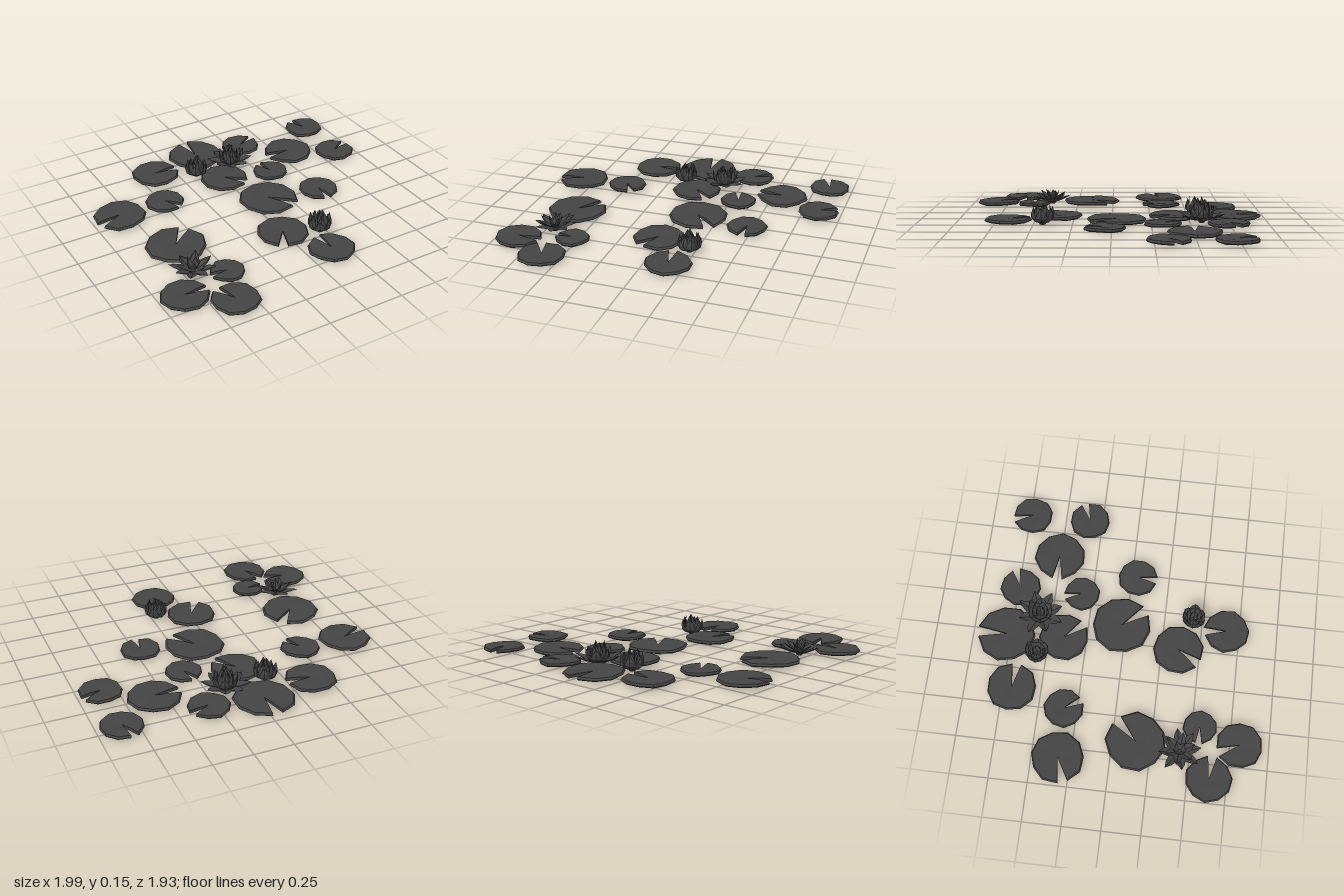
import * as THREE from 'three';

const material = new THREE.MeshStandardMaterial({ color: 0x444444, flatShading: true });
const petalMaterial = new THREE.MeshStandardMaterial({ color: 0x444444, flatShading: true, side: THREE.DoubleSide });

function meshFrom(points, mat, name) {
  const g = new THREE.BufferGeometry();
  g.setAttribute('position', new THREE.Float32BufferAttribute(points, 3));
  g.computeVertexNormals();
  const m = new THREE.Mesh(g, mat);
  m.name = name;
  return m;
}

// Notched ten-sided pad: a thin bevelled profile swept round, closed at the notch walls
function lilyPad(r, dx, dz, seed) {
  const out = [], sides = 10, half = 0.19;
  const start = Math.atan2(dz, dx) + half;
  const step = (Math.PI * 2 - half * 2) / sides;
  const profile = [[0, 0.002], [0.95, 0], [1, 0.008], [0.95, 0.021], [0.5, 0.022], [0, 0.017]];
  const at = (p, i) => {
    const a = start + i * step;
    const k = r * p[0] * (1 + 0.025 * Math.sin(i * 2.3 + seed));
    const wave = p[0] > 0.9 ? 0.0025 * Math.sin(i * 1.9 + seed) : 0;
    return [Math.cos(a) * k, p[1] + wave, Math.sin(a) * k];
  };
  for (let i = 0; i < sides; i++) {
    for (let j = 0; j < profile.length - 1; j++) {
      const a = at(profile[j], i), b = at(profile[j + 1], i);
      const c = at(profile[j + 1], i + 1), d = at(profile[j], i + 1);
      if (j < profile.length - 2) out.push(...a, ...b, ...c);
      if (j > 0) out.push(...a, ...c, ...d);
      if (j === profile.length - 2) continue;
    }
  }
  for (let j = 1; j < profile.length - 1; j++) {
    out.push(...at(profile[0], 0), ...at(profile[j + 1], 0), ...at(profile[j], 0));
    out.push(...at(profile[0], sides), ...at(profile[j], sides), ...at(profile[j + 1], sides));
  }
  return meshFrom(out, material, 'lilyPad');
}

// Pointed, creased petal following a curve given as [radius, height] pairs
function petal(from, control, to, width) {
  const curve = new THREE.QuadraticBezierCurve(
    new THREE.Vector2(...from), new THREE.Vector2(...control), new THREE.Vector2(...to));
  const widths = [0.35, 0.85, 1, 0.7, 0];
  const rows = widths.map((w, i) => {
    const t = i / (widths.length - 1), p = curve.getPoint(t), n = curve.getTangent(t);
    const h = w * width / 2, lift = h * 0.35;
    const ex = p.x - n.y * lift, ey = p.y + n.x * lift;
    return [[ex, ey, -h], [p.x, p.y, 0], [ex, ey, h]];
  });
  const out = [];
  for (let i = 0; i < rows.length - 1; i++) {
    for (let s = 0; s < 2; s++) {
      const a = rows[i][s], b = rows[i][s + 1], c = rows[i + 1][s + 1], d = rows[i + 1][s];
      out.push(...a, ...b, ...c);
      if (i < rows.length - 2 || s === 0 || s === 1) out.push(...a, ...c, ...d);
    }
  }
  return meshFrom(out, petalMaterial, 'petal');
}

// Rings of petals: [count, start, control, tip, width]
const budRings = [
  [6, [0.015, 0.008], [0.105, 0.02], [0.068, 0.112], 0.078],
  [5, [0.01, 0.015], [0.085, 0.03], [0.042, 0.132], 0.068],
  [4, [0.008, 0.02], [0.05, 0.04], [0.016, 0.122], 0.05],
];
const openRings = [
  [8, [0.02, 0.012], [0.09, 0.02], [0.155, 0.06], 0.075],
  [6, [0.015, 0.015], [0.1, 0.025], [0.08, 0.115], 0.072],
  [5, [0.01, 0.015], [0.08, 0.03], [0.045, 0.142], 0.065],
  [4, [0.008, 0.02], [0.05, 0.04], [0.016, 0.132], 0.05],
];
const flatRings = [
  [8, [0.015, 0.012], [0.07, 0.02], [0.142, 0.06], 0.065],
  [6, [0.012, 0.02], [0.06, 0.035], [0.105, 0.085], 0.055],
  [5, [0.008, 0.03], [0.04, 0.04], [0.045, 0.1], 0.038],
];

function flower(rings, name) {
  const group = new THREE.Group();
  group.name = name;
  rings.forEach(([count, from, control, to, width], k) => {
    for (let i = 0; i < count; i++) {
      const tip = [to[0] * (1 + 0.06 * Math.sin(i * 2.7 + k)), to[1] + 0.006 * Math.sin(i * 1.7 + k * 2)];
      const p = petal(from, control, tip, width);
      p.rotation.y = (i + k * 0.5) / count * Math.PI * 2 + k * 0.2;
      group.add(p);
    }
  });
  // Base under the petals
  const base = new THREE.Mesh(new THREE.CylinderGeometry(0.03, 0.018, 0.02, 8), material);
  base.name = 'flowerBase';
  base.position.y = 0.01;
  group.add(base);
  return group;
}

// x, z, radius, notch direction x and z, height
const pads = [
  [-0.39, -0.69, 0.162, 28, 2, 0.012], [-0.03, -0.78, 0.192, -1, -32, 0.01],
  [0.31, -0.735, 0.135, 22, -9, 0.014], [0.57, -0.505, 0.17, -30, 0, 0.006],
  [0.85, -0.73, 0.135, -7, -22, 0.013], [0.855, -0.335, 0.136, 20, -8, 0.013],
  [-0.82, -0.33, 0.17, -27, 9, 0.014], [-0.495, -0.335, 0.13, 11, 19, 0.014],
  [-0.01, -0.4, 0.164, 17, 20, 0.012], [0.31, -0.32, 0.12, -6, -21, 0.014],
  [0.12, -0.03, 0.196, 22, 28, 0.008], [0.47, 0.04, 0.132, -1, 21, 0.013],
  [-0.66, 0.15, 0.194, 26, -28, 0.013], [-0.01, 0.36, 0.167, -14, 24, 0.011],
  [0.155, 0.665, 0.15, -3, -25, 0.012], [-0.85, 0.635, 0.15, 26, 2, 0.014],
  [-0.52, 0.55, 0.11, -20, 0, 0.015], [-0.61, 0.81, 0.15, -12, -27, 0.013],
];
const flowers = [
  [openRings, 'openFlower', 0.135, -0.575, 0.4],
  [budRings, 'buddingFlower', -0.14, -0.56, 0],
  [flatRings, 'wideFlower', -0.69, 0.435, 0.2],
  [budRings, 'buddingFlower', 0.215, 0.44, 1],
];

export function createModel() {
  const model = new THREE.Group();
  model.name = 'waterLilies';
  pads.forEach(([x, z, r, dx, dz, y], i) => {
    const pad = lilyPad(r, dx, dz, i);
    pad.position.set(x, y, z);
    model.add(pad);
  });
  for (const [rings, name, x, z, turn] of flowers) {
    const f = flower(rings, name);
    f.position.set(x, 0, z);
    f.rotation.y = turn;
    model.add(f);
  }
  return model;
}
